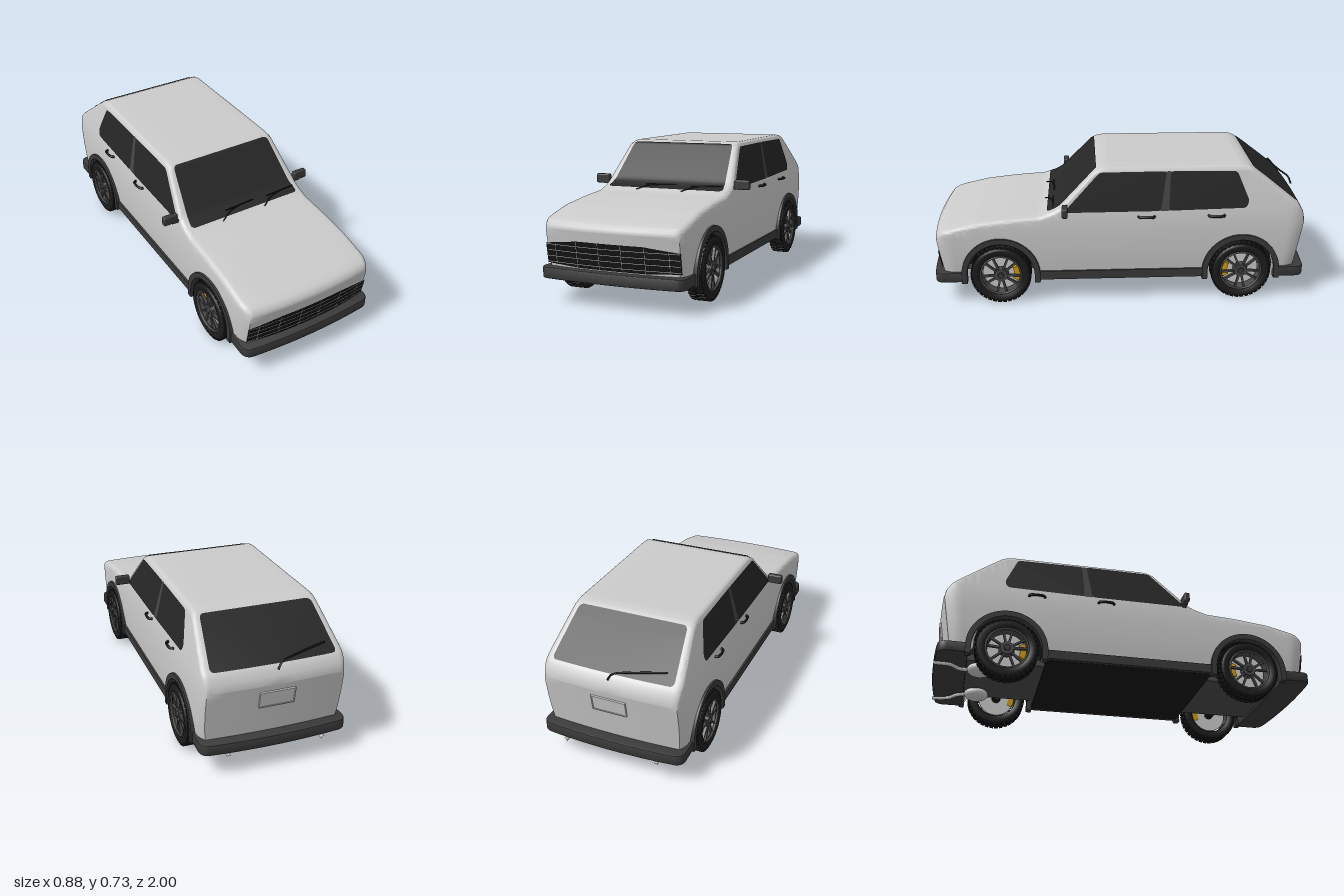
import * as THREE from 'three';
import { mergeGeometries, toCreasedNormals } from 'three/addons/utils/BufferGeometryUtils.js';
import { RoundedBoxGeometry } from 'three/addons/geometries/RoundedBoxGeometry.js';

const mat = (color, side = THREE.FrontSide) => new THREE.MeshStandardMaterial({ color, side });
const paint = mat(0xcccccc, THREE.DoubleSide), glassMat = mat(0x262626, THREE.DoubleSide);
const trim = mat(0x3a3a3a), black = mat(0x151515, THREE.DoubleSide), rubber = mat(0x1c1c1c, THREE.DoubleSide);
const metal = mat(0x4a4a4a, THREE.DoubleSide), silver = mat(0xcccccc), yellow = mat(0xd09a10);

const AXLES = [0.635, -0.64], WHEEL_Y = 0.16, ARCH = 0.185, RX = 0.03, RY = 0.025;
const { lerp, clamp } = THREE.MathUtils;

// Piecewise linear curve through [key, value] pairs with rising keys
const curve = pts => k => {
  if (k <= pts[0][0]) return pts[0][1];
  for (let i = 1; i < pts.length; i++) {
    const [a, va] = pts[i - 1], [b, vb] = pts[i];
    if (k <= b) return lerp(va, vb, (k - a) / (b - a));
  }
  return pts[pts.length - 1][1];
};
const ROOF = [[-0.985, 0.44], [-0.975, 0.48], [-0.95, 0.518], [-0.69, 0.713], [-0.665, 0.724], [-0.63, 0.729],
  [0.07, 0.729], [0.105, 0.724], [0.135, 0.71], [0.315, 0.525], [0.35, 0.505], [0.42, 0.481], [0.58, 0.47],
  [0.75, 0.45], [0.94, 0.41], [0.97, 0.395], [0.985, 0.378], [0.99, 0.36]];
const top = curve(ROOF);
const width = curve([[0.14, 0.357], [0.24, 0.367], [0.32, 0.37], [0.42, 0.369], [0.5, 0.361], [0.72, 0.315]]);
const endTaper = z => 0.022 * Math.max(0, (Math.abs(z) - 0.9) / 0.085) ** 2;

// Lean of the nose and tail, and their bow in plan
function bend(x, y, z) {
  const f = clamp((z - 0.8) / 0.19, 0, 1), r = clamp((-z - 0.75) / 0.235, 0, 1), q = (x / 0.36) ** 2;
  return [x, y, z - f * (0.025 * q + 0.17 * Math.max(0, 0.37 - y)) + r * (0.015 * q + 0.17 * Math.max(0, 0.44 - y))];
}

function grid(nu, nv, fn) {
  const pos = [], idx = [];
  for (let j = 0; j <= nv; j++) for (let i = 0; i <= nu; i++) pos.push(...fn(i, j));
  for (let j = 0; j < nv; j++) for (let i = 0; i < nu; i++) {
    const a = j * (nu + 1) + i, b = a + 1, c = a + nu + 1, d = c + 1;
    idx.push(a, b, d, a, d, c);
  }
  const g = new THREE.BufferGeometry();
  g.setAttribute('position', new THREE.Float32BufferAttribute(pos, 3));
  g.setIndex(idx);
  g.computeVertexNormals();
  return g;
}

// One cross-section of the shell, from the left sill over the roof to the right sill
function section(z) {
  let yb = 0.14;
  for (const c of AXLES) if (Math.abs(z - c) < ARCH) yb = WHEEL_Y + Math.sqrt(ARCH ** 2 - (z - c) ** 2);
  const yt = top(z), y0 = yt - RY, half = [];
  for (const y of [0, 0.19, 0.24, 0.28, 0.32, 0.37, 0.42, 0.46, 0.5, 0.6, 1]) {
    const yy = clamp(y, Math.min(yb, y0), y0);
    half.push([width(yy) - endTaper(z), yy]);
  }
  const w = half[half.length - 1][0];
  for (let i = 1; i <= 5; i++) {
    const t = i / 5 * Math.PI / 2;
    half.push([w - RX * (1 - Math.cos(t)), y0 + RY * Math.sin(t)]);
  }
  for (let i = 1; i <= 4; i++) half.push([(w - RX) * (1 - i / 4), yt]);
  return [...half, ...half.slice(0, -1).reverse().map(([x, y]) => [-x, y])];
}

function bodyGeometry() {
  const zs = ROOF.map(p => p[0]);
  for (let z = -0.96; z < 0.97; z += 0.02) zs.push(z);
  for (const c of AXLES) for (const s of [-1, 1]) zs.push(c + s * ARCH, c + s * (ARCH - 0.003));
  zs.sort((a, b) => a - b);
  const rings = zs.map(section), n = rings[0].length, half = 15;
  const cap = (ring, z, s) => grid(8, half, (i, j) => {
    const [x, y] = ring[j];
    return bend(s * x * (i / 4 - 1), y, z);
  });
  const parts = [grid(n - 1, zs.length - 1, (i, j) => bend(...rings[j][i], zs[j])),
    cap(rings[zs.length - 1], zs[zs.length - 1], 1), cap(rings[0], zs[0], -1)];
  return toCreasedNormals(mergeGeometries(parts), 0.7);
}

// Windscreen or hatch glass lying on the roofline, with rounded corners
const topGlass = (zA, zB, wA, wB) => grid(10, 30, (i, j) => {
  const t = (1 - Math.cos(Math.PI * j / 30)) / 2, z = lerp(zA, zB, t), r = 0.022;
  const d = Math.min(t, 1 - t) * Math.abs(zB - zA), k = Math.max(0, (r - d) / r);
  const hw = lerp(wA, wB, t) - r * (1 - Math.sqrt(1 - k * k)), x = hw * (i / 5 - 1);
  return bend(x, top(z) + 0.005, z);
});

// Flat polygon with rounded corners in side elevation, laid on the flank
function sideGlass(pts, s, off) {
  const sh = new THREE.Shape(), n = pts.length, v = pts.map(p => new THREE.Vector2(...p));
  v.forEach((p, i) => {
    const a = p.clone().add(v[(i + n - 1) % n].clone().sub(p).setLength(0.018));
    const b = p.clone().add(v[(i + 1) % n].clone().sub(p).setLength(0.018));
    i ? sh.lineTo(a.x, a.y) : sh.moveTo(a.x, a.y);
    sh.quadraticCurveTo(p.x, p.y, b.x, b.y);
  });
  const g = new THREE.ShapeGeometry(sh, 6), P = g.attributes.position;
  for (let i = 0; i < P.count; i++) P.setXYZ(i, s * (width(P.getY(i)) + off), P.getY(i), P.getX(i));
  g.computeVertexNormals();
  return g;
}

// Extrude a (z, y) shape across x0..x1
const slab = (shape, x0, x1) => new THREE.ExtrudeGeometry(shape, { depth: x1 - x0, bevelEnabled: false, curveSegments: 28 })
  .rotateY(-Math.PI / 2).translate(x1, 0, 0);

function bumperGeometry() {
  const s = new THREE.Shape();
  s.moveTo(-0.368, 0.835); s.lineTo(0.368, 0.835); s.lineTo(0.37, 0.93);
  s.quadraticCurveTo(0.37, 0.972, 0.33, 0.977);
  s.quadraticCurveTo(0, 1.011, -0.33, 0.977);
  s.quadraticCurveTo(-0.37, 0.972, -0.37, 0.93);
  const g = new THREE.ExtrudeGeometry(s, { depth: 0.043, bevelSize: 0.006, bevelThickness: 0.006, bevelSegments: 2, curveSegments: 14 });
  return toCreasedNormals(g.rotateX(Math.PI / 2).translate(0, 0.169, 0), 0.6);
}

const tube = (pts, r) => new THREE.TubeGeometry(new THREE.CatmullRomCurve3(pts.map(p => new THREE.Vector3(...p))), 20, r, 8);

export function createModel() {
  const car = new THREE.Group();
  const add = (name, geo, m, parent = car) => {
    const mesh = new THREE.Mesh(geo, m);
    mesh.name = name;
    parent.add(mesh);
    return mesh;
  };
  const box = (name, m, w, h, d, x, y, z, parent) => {
    const b = add(name, new THREE.BoxGeometry(w, h, d), m, parent);
    b.position.set(x, y, z);
    return b;
  };

  add('body', bodyGeometry(), paint);
  add('windscreen', topGlass(0.385, 0.125, 0.326, 0.287), glassMat);
  add('rearWindow', topGlass(-0.695, -0.945, 0.285, 0.318), glassMat);

  // Grille with thin bright bars
  const gTop = curve([[0, 0.31], [0.17, 0.31], [0.35, 0.289]]), gLow = curve([[0, 0.181], [0.17, 0.181], [0.35, 0.191]]);
  const face = (x, y, off) => bend(x, y, 0.99 + off);
  add('grille', grid(28, 6, (i, j) => {
    const x = 0.35 * (i / 14 - 1);
    return face(x, lerp(gLow(Math.abs(x)), gTop(Math.abs(x)), j / 6), 0.005);
  }), black);
  for (const y of [0.197, 0.226, 0.255, 0.284])
    add('grilleBar', tube([-0.347, -0.2, 0, 0.2, 0.347].map(x => face(x, y, 0.006)), 0.0016), silver);
  for (const x of [-0.295, -0.177, -0.059, 0.059, 0.177, 0.295])
    add('grilleDivider', tube([gLow(Math.abs(x)), gTop(Math.abs(x))].map(y => face(x, y, 0.006)), 0.0013), silver);

  add('frontBumper', bumperGeometry(), trim);
  add('rearBumper', bumperGeometry().rotateY(Math.PI), trim);

  // Underside
  box('floor', black, 0.7, 0.03, 0.87, 0, 0.141, 0);
  for (const z of AXLES) box('underPan', metal, 0.49, 0.03, 0.42, 0, 0.15, z);

  // Number plate holder
  const plate = new THREE.Group();
  plate.name = 'plateHolder';
  plate.position.set(0, 0.365, -0.975);
  plate.rotation.x = -0.17;
  car.add(plate);
  for (const s of [-1, 1]) {
    box('plateFrameRail', silver, 0.18, 0.006, 0.012, 0, s * 0.04, 0, plate);
    box('plateFrameEnd', silver, 0.006, 0.08, 0.012, s * 0.087, 0, 0, plate);
  }
  box('platePanel', silver, 0.17, 0.075, 0.006, 0, 0, 0, plate);

  // Wipers
  for (const x of [-0.15, 0.105]) {
    add('wiperArm', tube([[x, 0.49, 0.4], [x + 0.06, 0.511, 0.37], [x + 0.13, 0.517, 0.355]], 0.003), black);
    add('wiperBlade', tube([[x + 0.04, 0.515, 0.357], [x + 0.21, 0.52, 0.352]], 0.003), black);
  }
  add('rearWiper', tube([[0, 0.51, -0.975], [-0.02, 0.54, -0.965], [-0.14, 0.555, -0.925], [-0.27, 0.57, -0.897]], 0.005), black);

  for (const s of [-1, 1]) {
    // Side glass, pillar, handles and mirror
    add('frontSideWindow', sideGlass([[0.3, 0.503], [0.108, 0.706], [-0.238, 0.708], [-0.208, 0.505]], s, 0.004), glassMat);
    add('rearSideWindow', sideGlass([[-0.25, 0.506], [-0.26, 0.708], [-0.605, 0.704], [-0.67, 0.55], [-0.655, 0.514]], s, 0.004), glassMat);
    add('doorPillar', sideGlass([[-0.2, 0.504], [-0.23, 0.708], [-0.27, 0.708], [-0.26, 0.505]], s, 0.003), mat(0x444444, THREE.DoubleSide));
    for (const z of [-0.133, -0.5])
      add('doorHandle', tube([[0.36, 0.474, z + 0.042], [0.376, 0.475, z + 0.034], [0.378, 0.475, z - 0.034], [0.36, 0.474, z - 0.042]]
        .map(([x, y, w]) => [s * x, y, w]), 0.007), black);
    add('mirrorHousing', new RoundedBoxGeometry(0.08, 0.05, 0.03, 3, 0.008), trim).position.set(s * 0.402, 0.526, 0.29);
    box('mirrorArm', trim, 0.05, 0.014, 0.02, s * 0.372, 0.508, 0.295);
    box('sill', trim, 0.02, 0.047, 0.9, s * 0.361, 0.15, 0);

    // Exhausts
    const muffler = add('muffler', new THREE.SphereGeometry(0.06, 24, 16), silver);
    muffler.scale.set(1, 0.58, 1.1);
    muffler.position.set(s * 0.17, 0.117, -0.76);
    add('exhaustPipe', tube([[s * 0.17, 0.115, -0.8], [s * 0.18, 0.11, -0.86], [s * 0.23, 0.108, -0.91], [s * 0.245, 0.105, -0.995]], 0.01), silver);

    for (const z of AXLES) {
      // Arch flare and wheel well
      const f = new THREE.Shape();
      f.moveTo(z + 0.207, 0.115);
      f.lineTo(z + 0.207, WHEEL_Y);
      f.absarc(z, WHEEL_Y, 0.207, 0, Math.PI);
      f.lineTo(z - 0.207, 0.115);
      f.lineTo(z - 0.178, 0.115);
      f.absarc(z, WHEEL_Y, 0.178, Math.PI, 0, true);
      f.lineTo(z + 0.178, 0.115);
      add('archFlare', toCreasedNormals(s > 0 ? slab(f, 0.34, 0.381) : slab(f, -0.381, -0.34), 0.5), trim);
      add('wheelWell', new THREE.CylinderGeometry(0.184, 0.184, 0.12, 28, 1, true, 0, Math.PI).rotateZ(Math.PI / 2), black)
        .position.set(s * 0.3, WHEEL_Y, z);
      add('wellWall', new THREE.CircleGeometry(0.184, 28, 0, Math.PI).rotateY(Math.PI / 2), black).position.set(s * 0.241, WHEEL_Y, z);

      // Wheel, built with its outer face along local +y
      const wheel = new THREE.Group();
      wheel.name = 'wheel';
      wheel.position.set(s * 0.34, WHEEL_Y, z);
      wheel.rotation.z = -s * Math.PI / 2;
      car.add(wheel);
      const tyre = [[0.108, -0.03], [0.113, -0.044], [0.14, -0.047], [0.151, -0.041], [0.156, -0.028], [0.156, 0.028],
        [0.151, 0.041], [0.14, 0.047], [0.113, 0.044], [0.108, 0.03]].map(p => new THREE.Vector2(...p));
      add('tyre', new THREE.LatheGeometry(tyre, 48), rubber, wheel);
      for (let i = 0; i < 36; i++) for (const r of [-1, 1]) {
        const a = (i + (r > 0 ? 0.5 : 0)) / 36 * Math.PI * 2;
        const block = box('treadBlock', rubber, 0.01, 0.036, 0.02, Math.cos(a) * 0.1545, r * 0.021, Math.sin(a) * 0.1545, wheel);
        block.rotation.y = -a;
      }
      add('rimBarrel', new THREE.CylinderGeometry(0.109, 0.109, 0.08, 40, 1, true), metal, wheel);
      add('rimLip', new THREE.TorusGeometry(0.107, 0.006, 8, 40).rotateX(Math.PI / 2), metal, wheel).position.y = 0.038;
      for (let i = 0; i < 10; i++) {
        const a = (Math.floor(i / 2) + (i % 2 ? 0.19 : -0.19)) / 5 * Math.PI * 2;
        const spoke = box('spoke', metal, 0.085, 0.014, 0.011, Math.cos(a) * 0.066, 0.03, Math.sin(a) * 0.066, wheel);
        spoke.rotation.y = -a;
      }
      add('hub', new THREE.CylinderGeometry(0.034, 0.04, 0.03, 24), metal, wheel).position.y = 0.026;
      add('hubCap', new THREE.CylinderGeometry(0.016, 0.018, 0.008, 16), trim, wheel).position.y = 0.044;
      add('brakeDisc', new THREE.CylinderGeometry(0.098, 0.098, 0.01, 36), silver, wheel).position.y = -0.012;
      add('axleStub', new THREE.CylinderGeometry(0.025, 0.025, 0.06, 16), black, wheel).position.y = -0.035;
      const c = new THREE.Shape(), mid = -Math.sign(z) * Math.PI / 2;
      c.absarc(0, 0, 0.1, mid - 0.45, mid + 0.45);
      c.absarc(0, 0, 0.068, mid + 0.45, mid - 0.45, true);
      add('brakeCaliper', new THREE.ExtrudeGeometry(c, { depth: 0.035, bevelEnabled: false }).rotateX(Math.PI / 2), yellow, wheel).position.y = 0.015;
    }
  }
  return car;
}
